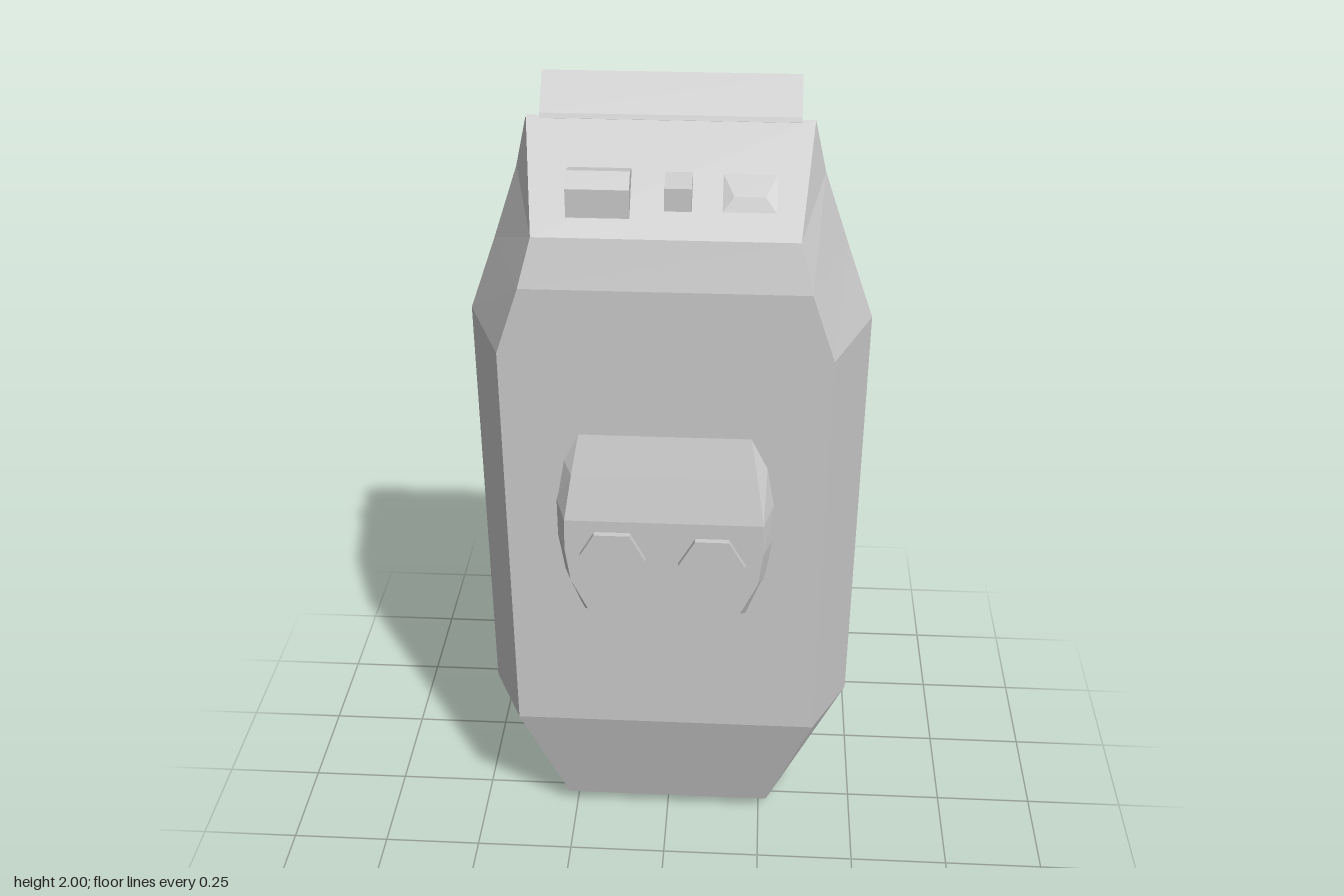
import * as THREE from 'three';
import { ConvexGeometry } from 'three/addons/geometries/ConvexGeometry.js';

const material = new THREE.MeshStandardMaterial({ color: 0xcccccc, flatShading: true });

function add(group, name, geometry) {
  const mesh = new THREE.Mesh(geometry, material);
  mesh.name = name;
  group.add(mesh);
  return mesh;
}

const toShape = (points) => new THREE.Shape(points.map(([x, y]) => new THREE.Vector2(x, y)));

// Outline in x, y pushed forward from z0 to z1
function frontPlate(points, z0, z1) {
  return new THREE.ExtrudeGeometry(toShape(points), { depth: z1 - z0, bevelEnabled: false }).translate(0, 0, z0);
}

// Side profile in z, y running from x0 to x1
function sideProfile(points, x0, x1) {
  return new THREE.ExtrudeGeometry(toShape(points), { depth: x1 - x0, bevelEnabled: false })
    .rotateY(-Math.PI / 2).translate(x1, 0, 0);
}

// Mirrored faceted shell; each row, bottom to top, is a back rim point and a front edge point
function facetedShell(rows) {
  const rings = rows.map(([bx, by, bz, fx, fy, fz]) => [
    [-bx, by, bz], [-fx, fy, fz], [fx, fy, fz], [bx, by, bz],
  ]);
  const positions = [];
  const quad = (a, b, c, d) => positions.push(...a, ...b, ...c, ...a, ...c, ...d);
  for (let r = 0; r < rings.length - 1; r++) {
    for (let i = 0; i < 4; i++) {
      const j = (i + 1) % 4;
      quad(rings[r][i], rings[r][j], rings[r + 1][j], rings[r + 1][i]);
    }
  }
  const [p0, p1, p2, p3] = rings[0];
  quad(p0, p3, p2, p1);
  const geometry = new THREE.BufferGeometry();
  geometry.setAttribute('position', new THREE.Float32BufferAttribute(positions, 3));
  geometry.computeVertexNormals();
  return geometry;
}

export function createModel() {
  const model = new THREE.Group();
  model.name = 'facetedCase';

  // Wide front shell tapering at both ends
  add(model, 'frontShell', facetedShell([
    [0.32, 0.01, -0.065, 0.27, 0.045, 0.08],
    [0.475, 0.33, -0.065, 0.38, 0.385, 0.175],
    [0.475, 1.44, -0.065, 0.38, 1.44, 0.175],
    [0.41, 1.62, -0.065, 0.325, 1.6, 0.175],
    [0.348, 1.8, -0.052, 0.295, 1.71, 0.145],
    [0.32, 1.92, -0.045, 0.32, 1.92, -0.045],
  ]));

  // Narrower block behind it
  add(model, 'backBlock', sideProfile([
    [-0.11, 0], [-0.04, 0.018], [-0.04, 1.915], [-0.045, 1.925], [-0.115, 2], [-0.24, 1.84], [-0.24, 0.17],
  ], -0.29, 0.29));

  // Raised panel on the front
  add(model, 'frontPanel', facetedShell([
    [0.2, 0.74, 0.17, 0.185, 0.775, 0.225],
    [0.245, 0.86, 0.17, 0.225, 0.86, 0.225],
    [0.26, 0.96, 0.17, 0.237, 0.95, 0.225],
    [0.26, 1.06, 0.17, 0.235, 1.03, 0.225],
    [0.24, 1.17, 0.17, 0.218, 1.14, 0.199],
    [0.2, 1.24, 0.174, 0.2, 1.24, 0.174],
  ]));

  // Two flat polygonal buttons
  add(model, 'largeButton', frontPlate([
    [-0.165, 1.0], [-0.2, 0.94], [-0.195, 0.86], [-0.12, 0.82], [-0.055, 0.86], [-0.043, 0.93], [-0.08, 1.0],
  ], 0.22, 0.24));
  add(model, 'smallButton', frontPlate([
    [0.075, 0.99], [0.035, 0.92], [0.07, 0.855], [0.155, 0.855], [0.195, 0.92], [0.155, 0.99],
  ], 0.22, 0.24));

  // Three small details on the top slope
  add(model, 'topBlock', sideProfile([
    [0.03, 1.83], [0.1, 1.745], [0.115, 1.745], [0.115, 1.81], [0.08, 1.84],
  ], -0.22, -0.08));
  add(model, 'topStud', sideProfile([
    [0.035, 1.822], [0.09, 1.76], [0.105, 1.76], [0.105, 1.812], [0.042, 1.827],
  ], -0.005, 0.055));
  add(model, 'topRidge', new ConvexGeometry([
    [0.122, 1.76, 0.103], [0.24, 1.76, 0.103], [0.122, 1.825, 0.042], [0.24, 1.825, 0.042],
    [0.147, 1.79, 0.088], [0.215, 1.79, 0.088],
  ].map((p) => new THREE.Vector3(...p))));

  // Thin side plates and knobs on the rear of the shell
  const plate = [[0.27, 0.61], [0.32, 0.65], [0.355, 0.8], [0.36, 1.12], [0.33, 1.2], [0.29, 1.235], [0.27, 1.235]];
  for (const [side, label] of [[1, 'left'], [-1, 'right']]) {
    const points = plate.map(([x, y]) => [x * side, y]);
    add(model, `${label}RearPlate`, frontPlate(points, -0.074, -0.06));
    const knob = add(model, `${label}Knob`, new THREE.CylinderGeometry(0.015, 0.015, 0.02, 6).rotateX(Math.PI / 2));
    knob.position.set(side * 0.305, 1.03, -0.072);
  }

  return model;
}
